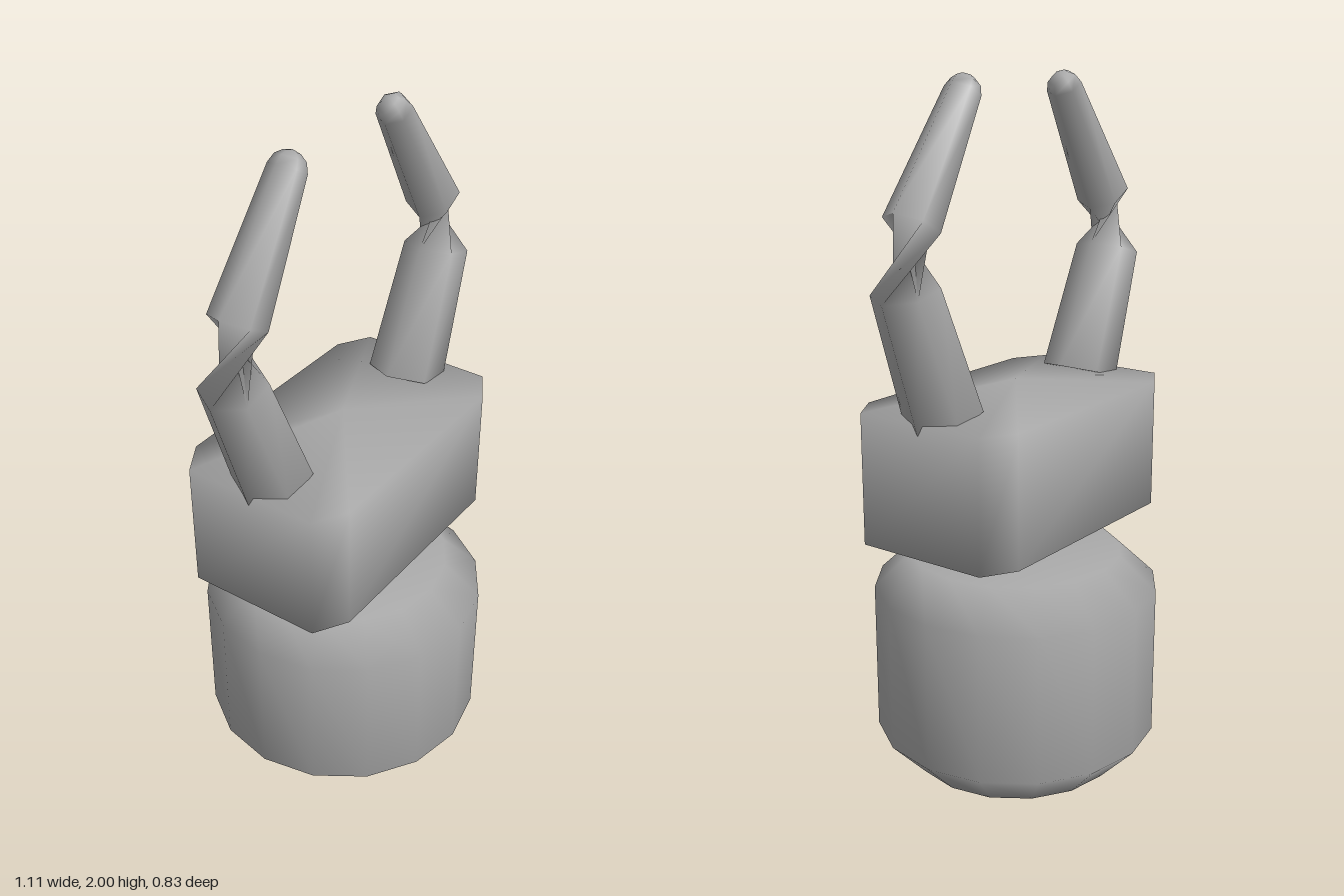
import * as THREE from 'three';

const grey = new THREE.MeshStandardMaterial({ color: 0xa8a8a8 });
grey.name = 'grey';

// Smooth skin over a stack of rings, closed to a centre point at each end
function loft(rings, start, end) {
  const n = rings[0].length;
  const points = [...rings.flat(), start, end];
  const s = rings.length * n, e = s + 1, index = [];
  for (let j = 0; j < n; j++) {
    const k = (j + 1) % n;
    index.push(s, j, k);
    for (let r = 0; r < rings.length - 1; r++) {
      const a = r * n + j, b = r * n + k;
      index.push(a, a + n, b, b, a + n, b + n);
    }
    const t = (rings.length - 1) * n;
    index.push(e, t + k, t + j);
  }
  const geometry = new THREE.BufferGeometry().setFromPoints(points);
  geometry.setIndex(index);
  geometry.computeVertexNormals();
  return geometry;
}

// Six-sided ring in the plane spanned by the outward tilt and z
function hexRing(x, y, radius, tilt, twist = 0) {
  return Array.from({ length: 6 }, (_, i) => {
    const a = i * Math.PI / 3 + twist;
    const out = radius * Math.cos(a);
    return new THREE.Vector3(x + out * Math.cos(tilt), y + out * Math.sin(tilt), radius * Math.sin(a));
  });
}

function add(parent, name, geometry) {
  const mesh = new THREE.Mesh(geometry, grey);
  mesh.name = name;
  parent.add(mesh);
  return mesh;
}

export function createModel() {
  const model = new THREE.Group();
  model.name = 'gripper';

  // Drum-shaped base with bevelled rims
  const profile = [[0, 0], [0.31, 0], [0.416, 0.11], [0.416, 0.55], [0.31, 0.65], [0, 0.65]];
  add(model, 'base', new THREE.LatheGeometry(profile.map(([x, y]) => new THREE.Vector2(x, y)), 16));

  // Eight-sided palm with shallow peaks above and below
  const outline = [[0.43, -0.2], [0.43, 0.2], [0.335, 0.257], [-0.335, 0.257],
    [-0.43, 0.2], [-0.43, -0.2], [-0.335, -0.257], [0.335, -0.257]];
  const palmRing = (y) => outline.map(([x, z]) => new THREE.Vector3(x, y, z));
  add(model, 'palm', loft([palmRing(0.745), palmRing(1.12)],
    new THREE.Vector3(0, 0.7, 0), new THREE.Vector3(0, 1.16, 0)));

  // Fingers: lower joint, twisted knuckle, tapered upper joint and round tip
  const twist = -Math.PI * 2 / 3;
  const finger = loft([
    hexRing(0.325, 1.122, 0.11, -0.3),
    hexRing(0.465, 1.475, 0.092, -0.25),
    hexRing(0.436, 1.638, 0.077, 0.5, twist),
    hexRing(0.227, 1.955, 0.05, 0.53, twist),
    hexRing(0.214, 1.977, 0.04, 0.53, twist),
    hexRing(0.207, 1.989, 0.022, 0.53, twist),
  ], new THREE.Vector3(0.325, 1.122, 0), new THREE.Vector3(0.204, 1.994, 0));
  add(model, 'leftFinger', finger);
  add(model, 'rightFinger', finger).rotation.y = Math.PI;

  return model;
}
